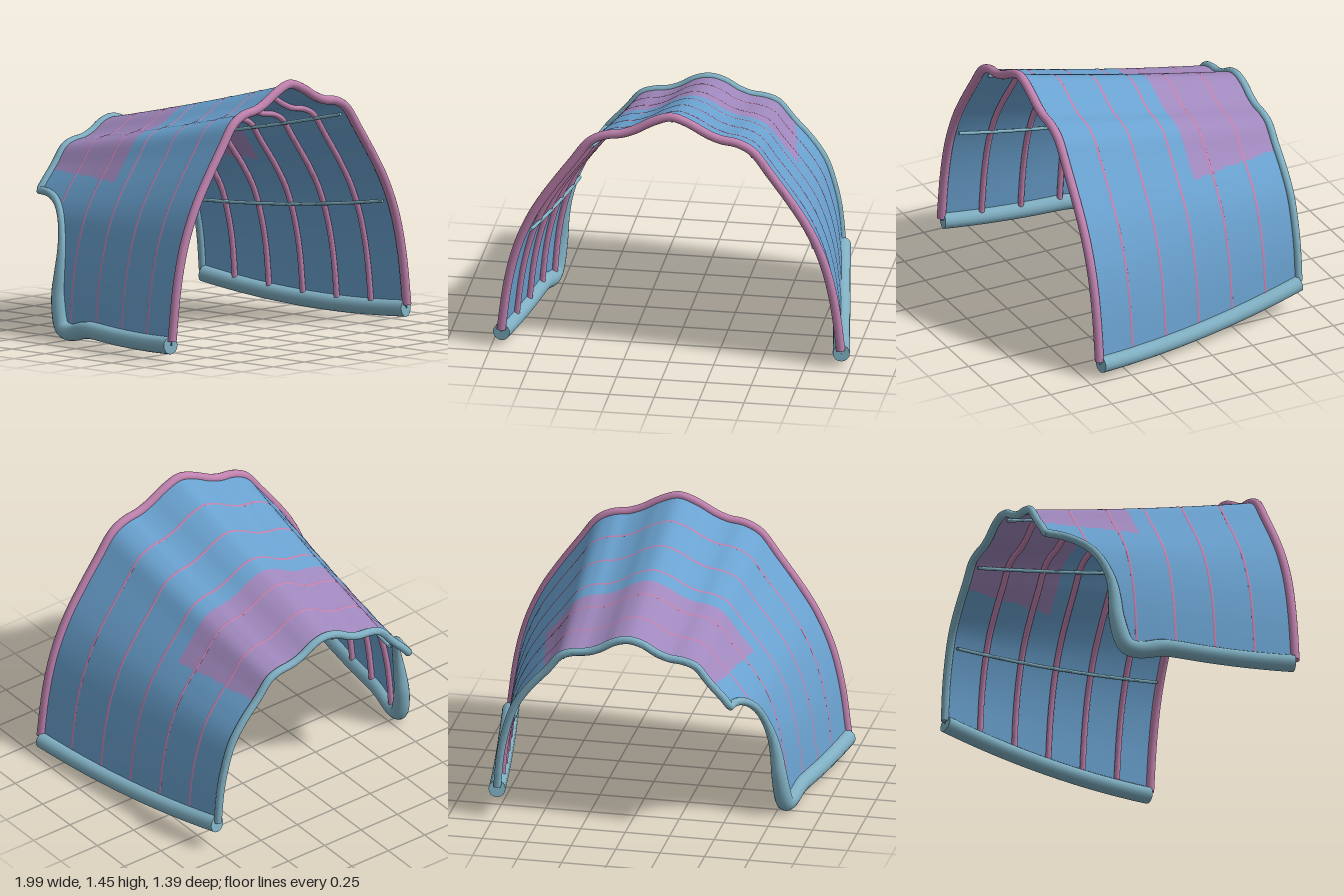
import * as THREE from 'three';
import { toCreasedNormals } from 'three/addons/utils/BufferGeometryUtils.js';

const HALF = 0.67; // half depth of the shell
const mat = (color, side = THREE.FrontSide) => new THREE.MeshStandardMaterial({ color, side });
const BLUE = mat(0x6aa2d0, THREE.DoubleSide);
const PURPLE = mat(0xa088bd, THREE.DoubleSide);
const TEAL = mat(0x7fafc2);
const PINK = mat(0xbf82ae);

// Half profiles of the arch, crown to foot, mirrored into full curves
function arch(half) {
  const right = half.map(([x, y]) => new THREE.Vector3(x, y, 0));
  const left = right.slice(1).reverse().map((p) => new THREE.Vector3(-p.x, p.y, 0));
  return new THREE.CatmullRomCurve3([...left, ...right], false, 'catmullrom', 0.5);
}
const frontArch = arch([[0, 1.437], [0.1, 1.405], [0.2, 1.35], [0.28, 1.32], [0.37, 1.305], [0.46, 1.255],
  [0.55, 1.135], [0.68, 0.955], [0.775, 0.8], [0.855, 0.61], [0.91, 0.38], [0.948, 0.087]]);
const rearArch = arch([[0, 1.118], [0.08, 1.1], [0.16, 1.055], [0.23, 1.03], [0.31, 1.02], [0.385, 0.99],
  [0.46, 0.9], [0.56, 0.79], [0.64, 0.67], [0.69, 0.52], [0.72, 0.37], [0.738, 0.17]]);

// Shell point: s runs -1..1 from right foot over the crown to left foot
function shell(s, z) {
  const u = (s + 1) / 2;
  const p = rearArch.getPoint(u).lerp(frontArch.getPoint(u), (z + HALF) / (2 * HALF));
  const foot = Math.abs(s) ** 3;
  p.y -= (0.01 + 0.032 * foot) * (1 - (z / HALF) ** 2);
  if (s < 0) p.y -= 0.05 * s ** 12 * Math.exp(-(((z + 0.23) / 0.11) ** 2)); // sagging corner
  p.z = z;
  return p;
}

// Shell point pushed inward
function inside(s, z, d) {
  const e = 0.004;
  const t = shell(Math.min(1, s + e), z).sub(shell(Math.max(-1, s - e), z)).normalize();
  return shell(s, z).add(new THREE.Vector3(t.y * d, -t.x * d, 0));
}

// Rear boundary, with the rounded cut-out on the right side
const CUT = -0.65;
function backEdge(s) {
  if (s >= CUT) return -HALF;
  const f = Math.min(1, (CUT - s) / 0.25);
  return -HALF + 0.33 * Math.sqrt(1 - (1 - f) ** 2);
}

const range = (a, b, n) => Array.from({ length: n + 1 }, (_, i) => a + ((b - a) * i) / n);

// Capped tube whose radius may vary along its length
function tube(name, points, radius, material, segs = 100, sides = 14) {
  const curve = new THREE.CatmullRomCurve3(points, false, 'centripetal');
  const geo = new THREE.TubeGeometry(curve, segs, 1, sides);
  const pos = geo.attributes.position;
  const v = new THREE.Vector3();
  for (let i = 0; i <= segs; i++) {
    const end = i === 0 || i === segs;
    const ring = Math.min(segs - 1, Math.max(1, i));
    const c = curve.getPointAt(ring / segs);
    const r = typeof radius === 'function' ? radius(c) : radius;
    const here = curve.getPointAt(i / segs);
    for (let j = 0; j <= sides; j++) {
      const k = i * (sides + 1) + j;
      v.fromBufferAttribute(pos, k).sub(here).multiplyScalar(end ? 0 : r).add(c);
      pos.setXYZ(k, v.x, v.y, v.z);
    }
  }
  geo.deleteAttribute('uv');
  const mesh = new THREE.Mesh(toCreasedNormals(geo, 0.9), material);
  mesh.name = name;
  return mesh;
}

// Cover sheet split into main cloth and crown patch, sharing smooth normals
function cover() {
  const ns = 264, nz = 26, row = nz + 1;
  const pos = [], all = [], main = [], patch = [];
  for (const s of range(-1, 1, ns)) {
    for (const z of range(backEdge(s), HALF, nz)) pos.push(...shell(s, z).toArray());
  }
  for (let i = 0; i < ns; i++) {
    for (let j = 0; j < nz; j++) {
      const a = i * row + j, b = a + 1, c = a + row, d = c + 1;
      const y = (pos[a * 3 + 1] + pos[d * 3 + 1]) / 2;
      const z = (pos[a * 3 + 2] + pos[d * 3 + 2]) / 2;
      const tris = [a, b, c, b, d, c];
      all.push(...tris);
      (y > 0.88 && z < -0.1 ? patch : main).push(...tris);
    }
  }
  const geo = new THREE.BufferGeometry();
  geo.setAttribute('position', new THREE.Float32BufferAttribute(pos, 3));
  geo.setIndex(all);
  geo.computeVertexNormals();
  const part = (name, index, material) => {
    const g = geo.clone();
    g.setIndex(index);
    const mesh = new THREE.Mesh(g, material);
    mesh.name = name;
    return mesh;
  };
  return [part('coverSheet', main, BLUE), part('crownPatch', patch, PURPLE)];
}

export function createModel() {
  const model = new THREE.Group();
  model.name = 'archShelter';
  model.add(...cover());

  // Front rim
  model.add(tube('frontRim', range(-1, 1, 66).map((s) => shell(s, HALF)), 0.025, PINK, 160));

  // Rear rim, cut-out edge and right foot rail in one run, thickening towards the foot
  const rimPath = [
    ...range(1, CUT, 54).map((s) => shell(s, -HALF)),
    ...range(0.02, 1, 9).map((f) => CUT - 0.25 * f * f).map((s) => shell(s, backEdge(s))),
    shell(-0.95, -0.335),
    ...range(-0.285, 0.675, 16).map((z) => shell(-1, z)),
  ];
  const rimRadius = (p) =>
    p.x > 0 ? 0.022 : 0.022 + 0.026 * (1 - THREE.MathUtils.smoothstep(p.y, 0.1, 0.65));
  model.add(tube('rearRim', rimPath, rimRadius, TEAL, 260, 16));

  // Left foot rail
  model.add(tube('leftFootRail', range(-0.68, 0.675, 16).map((z) => shell(1, z)), 0.047, TEAL, 100, 16));

  // Hoops under the cover
  for (const z of [-0.447, -0.223, 0, 0.223, 0.447]) {
    const run = range(-0.995, 0.995, 80).filter((s) => backEdge(s) <= z);
    model.add(tube('hoop', run.map((s) => inside(s, z, 0.0145)), 0.0165, PINK, 140, 12));
  }

  // Lengthwise rods tying the hoops together
  for (const s of [-0.77, -0.465, 0, 0.465, 0.77]) {
    const run = range(backEdge(s), HALF, 14);
    model.add(tube('lengthwiseRod', run.map((z) => inside(s, z, 0.028)), 0.01, TEAL, 40, 10));
  }
  return model;
}
